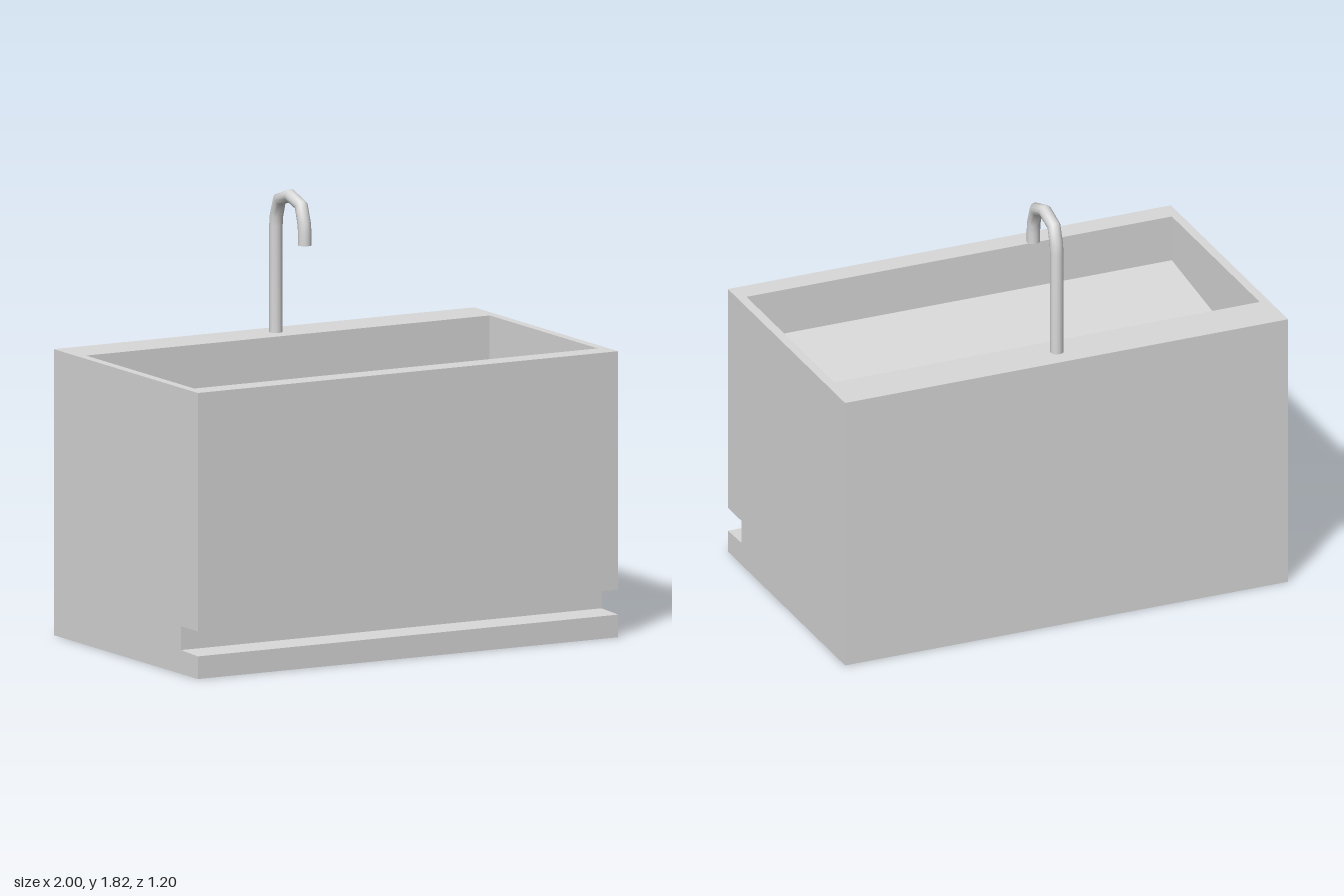
import * as THREE from 'three';
import { mergeGeometries } from 'three/addons/utils/BufferGeometryUtils.js';

const stone = new THREE.MeshStandardMaterial({ color: 0xd9d9d9 });
stone.name = 'pale grey';

// Side profiles as [z, y], open at the top
const bodyProfile = [[-0.6, 1.2], [-0.6, 0], [0.6, 0], [0.6, 0.095], [0.46, 0.1], [0.46, 0.2], [0.6, 0.2], [0.6, 1.2]];
const basinProfile = [[0.5, 1.2], [0.5, 1], [-0.3, 0.9], [-0.3, 0.8], [-0.4, 0.8], [-0.4, 1.2]];

// Flat strips running across x from one profile point to the next
function sweep(profile, half) {
  const pos = [];
  for (let i = 0; i + 1 < profile.length; i++) {
    const [z0, y0] = profile[i], [z1, y1] = profile[i + 1];
    const a = [-half, y0, z0], b = [half, y0, z0], c = [half, y1, z1], d = [-half, y1, z1];
    pos.push(...a, ...b, ...c, ...a, ...c, ...d);
  }
  const g = new THREE.BufferGeometry();
  g.setAttribute('position', new THREE.Float32BufferAttribute(pos, 3));
  g.computeVertexNormals();
  return g;
}

// Flat end face at x, facing the given direction along x
function endFace(profile, x, facing) {
  const shape = new THREE.Shape(profile.map(([z, y]) => new THREE.Vector2(-facing * z, y)));
  const g = new THREE.ShapeGeometry(shape).toNonIndexed();
  g.deleteAttribute('uv');
  return g.rotateY(facing * Math.PI / 2).translate(x, 0, 0);
}

function rect(Type, x0, y0, x1, y1) {
  return new Type([[x0, y0], [x1, y0], [x1, y1], [x0, y1]].map(p => new THREE.Vector2(...p)));
}

// Polyline path with mitred corners
class BentPath extends THREE.Curve {
  constructor(points) { super(); this.points = points; }
  index(u) { return Math.round(u * (this.points.length - 1)); }
  getPointAt(u, target = new THREE.Vector3()) { return target.copy(this.points[this.index(u)]); }
  getTangentAt(u, target = new THREE.Vector3()) {
    const p = this.points, i = this.index(u);
    target.set(0, 0, 0);
    if (i > 0) target.add(p[i].clone().sub(p[i - 1]).normalize());
    if (i < p.length - 1) target.add(p[i + 1].clone().sub(p[i]).normalize());
    return target.normalize();
  }
}

export function createModel() {
  const model = new THREE.Group();
  model.name = 'washTrough';
  const add = (name, geometry, parent = model) => {
    const mesh = new THREE.Mesh(geometry, stone);
    mesh.name = name;
    parent.add(mesh);
  };

  // Block with toe slot along the front
  add('body', mergeGeometries([
    sweep(bodyProfile, 1),
    endFace(bodyProfile, 1, 1),
    endFace(bodyProfile, -1, -1),
  ]));

  // Rim around the opening
  const rim = rect(THREE.Shape, -1, -0.6, 1, 0.6);
  rim.holes.push(rect(THREE.Path, -0.96, -0.5, 0.96, 0.4));
  add('rim', new THREE.ShapeGeometry(rim).rotateX(-Math.PI / 2).translate(0, 1.2, 0));

  // Sloping basin with a drain channel at the back
  add('basin', mergeGeometries([
    sweep(basinProfile, 0.96),
    endFace(basinProfile, 0.96, -1),
    endFace(basinProfile, -0.96, 1),
  ]));

  // Hooked tap: the bend is mirrored about its crown at z = -0.38
  const tap = new THREE.Group();
  tap.name = 'tap';
  model.add(tap);
  const bend = [[0.12, 1.65], [0.115, 1.69], [0.09, 1.762]];
  const path = [
    [-0.12, 1.2], ...bend.map(([z, y]) => [-z, y]), [0, 1.79], ...bend.toReversed(), [0.12, 1.6],
  ].map(([z, y]) => new THREE.Vector3(0, y, z - 0.38));
  add('tapPipe', new THREE.TubeGeometry(new BentPath(path), path.length - 1, 0.028, 12), tap);
  add('tapOutlet', new THREE.CircleGeometry(0.028, 12).rotateX(Math.PI / 2).translate(0, 1.6, -0.26), tap);
  return model;
}
